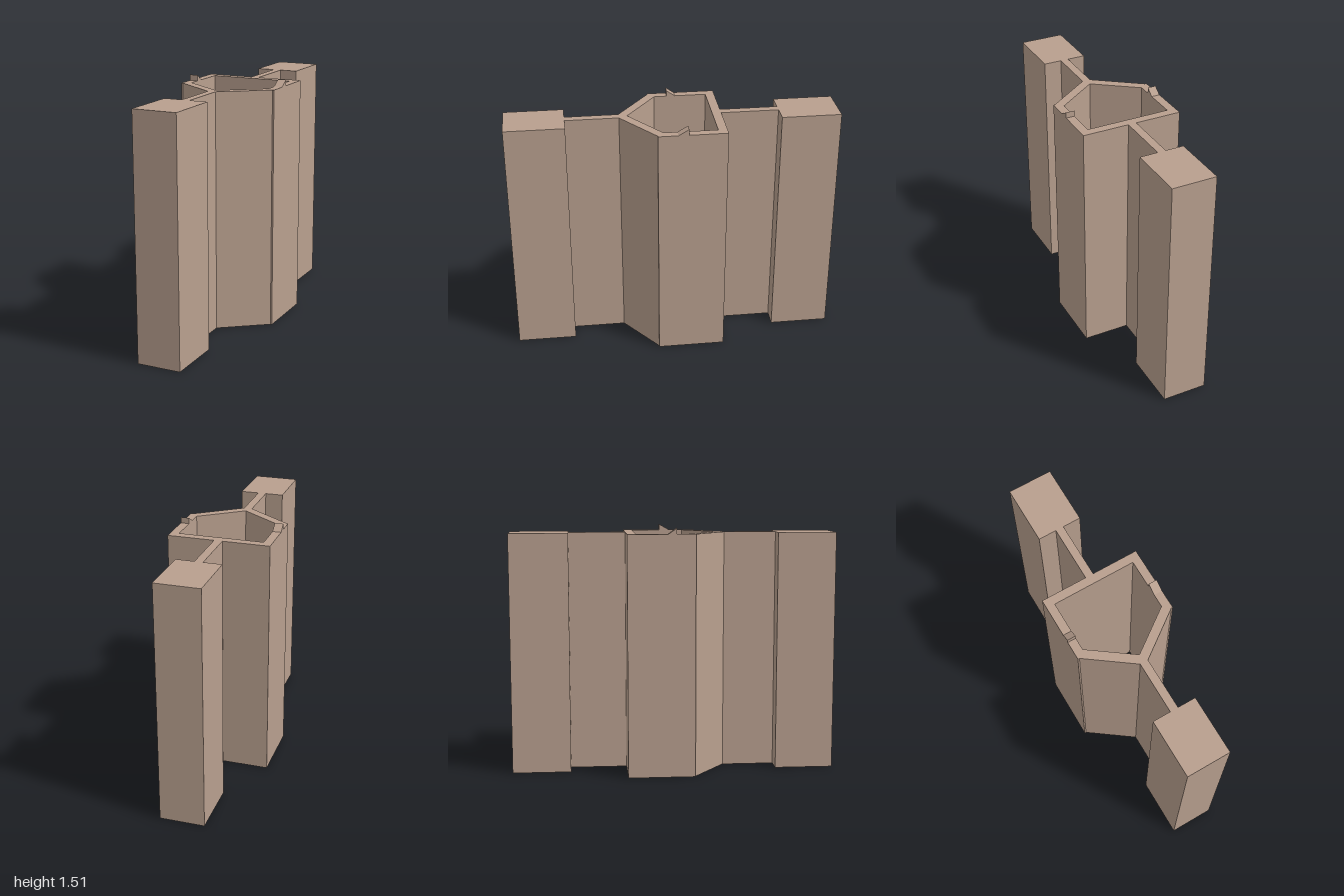
import * as THREE from 'three';

const HEIGHT = 1.476;
const material = new THREE.MeshStandardMaterial({ color: 0xb89f8e, flatShading: true });

// Closed outline from its +x half, listed front to back; points are [x, z]
function mirroredOutline(half) {
  const mirrored = half.filter(([x]) => x > 0).map(([x, z]) => [-x, z]).reverse();
  return [...half, ...mirrored].map(([x, z]) => new THREE.Vector2(x, -z));
}

// Small ramp on a wall top; points are [z, y], extruded across the wall thickness
function makeRamp(name, points, outerX) {
  const shape = new THREE.Shape(points.map(([z, y]) => new THREE.Vector2(z, y)));
  const geometry = new THREE.ExtrudeGeometry(shape, { depth: 0.052, bevelEnabled: false });
  geometry.rotateY(-Math.PI / 2);
  geometry.translate(outerX, 0, 0);
  const mesh = new THREE.Mesh(geometry, material);
  mesh.name = name;
  return mesh;
}

export function createModel() {
  const group = new THREE.Group();
  group.name = 'extrudedBracket';

  // End blocks, webs and five-sided housing as one upright extrusion
  const profile = new THREE.Shape(mirroredOutline([
    [0.136, 1], [0.136, 0.64], [0.025, 0.64], [0.025, 0.319],
    [0.3, 0.118], [0.31, 0.118], [0.31, -0.292],
    [0.025, -0.292], [0.025, -0.64], [0.136, -0.64], [0.136, -1],
  ]));
  // Open channel through the housing
  profile.holes.push(new THREE.Path(mirroredOutline([
    [0, 0.268], [0.258, 0.08], [0.258, -0.238],
  ])));
  const geometry = new THREE.ExtrudeGeometry(profile, { depth: HEIGHT, bevelEnabled: false });
  geometry.rotateX(-Math.PI / 2);
  const body = new THREE.Mesh(geometry, material);
  body.name = 'profileBody';
  group.add(body);

  // Opposed ramps on the two side walls
  const top = 1.512;
  group.add(makeRamp('leftRamp', [[0, HEIGHT], [-0.062, top], [-0.062, HEIGHT]], 0.31));
  group.add(makeRamp('rightRamp', [[0.003, HEIGHT], [0.003, top], [-0.048, HEIGHT]], -0.258));

  return group;
}
